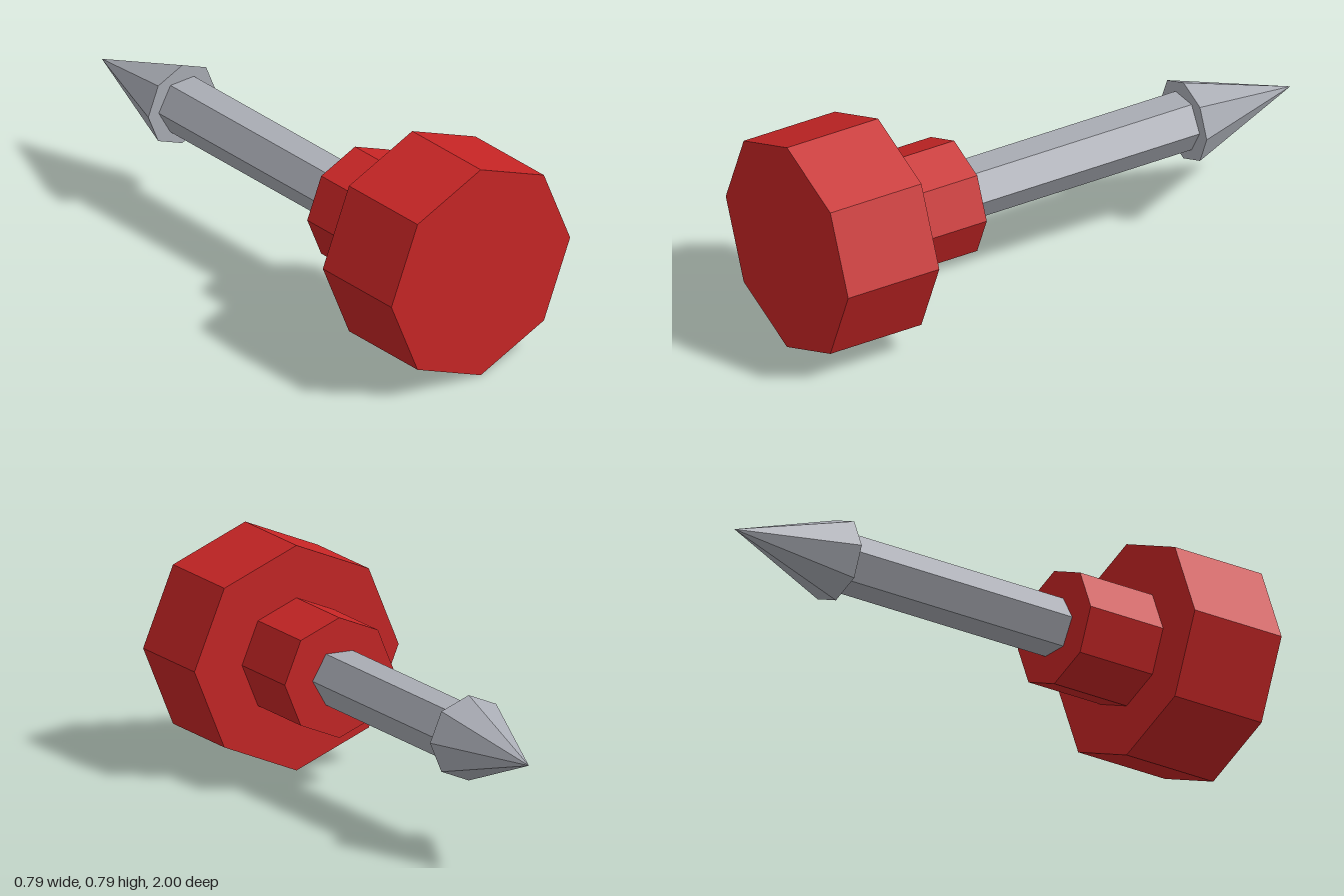
import * as THREE from 'three';

export function createModel() {
  const group = new THREE.Group();
  const red = new THREE.MeshStandardMaterial({ name: 'red plastic', color: 0xc62525, flatShading: true });
  const steel = new THREE.MeshStandardMaterial({ name: 'grey steel', color: 0xa8abb3, flatShading: true });
  const axisY = 0.395;

  // Faceted section along z, from zFront to zBack; start turns the facets
  function section(name, material, sides, radius, backRadius, zFront, zBack, start = 0) {
    const geometry = new THREE.CylinderGeometry(backRadius, radius, zFront - zBack, sides, 1, false, start);
    geometry.rotateX(-Math.PI / 2);
    const mesh = new THREE.Mesh(geometry, material);
    mesh.name = name;
    mesh.position.set(0, axisY, (zFront + zBack) / 2);
    group.add(mesh);
  }

  // Wide grip and narrower collar
  section('head', red, 8, 0.393, 0.393, 1, 0.638);
  section('collar', red, 8, 0.21, 0.21, 0.638, 0.336);

  // Hexagonal shaft and pointed tip
  section('shaft', steel, 6, 0.103, 0.103, 0.336, -0.576, Math.PI / 2);
  section('tip', steel, 8, 0.149, 0, -0.576, -1);

  return group;
}
